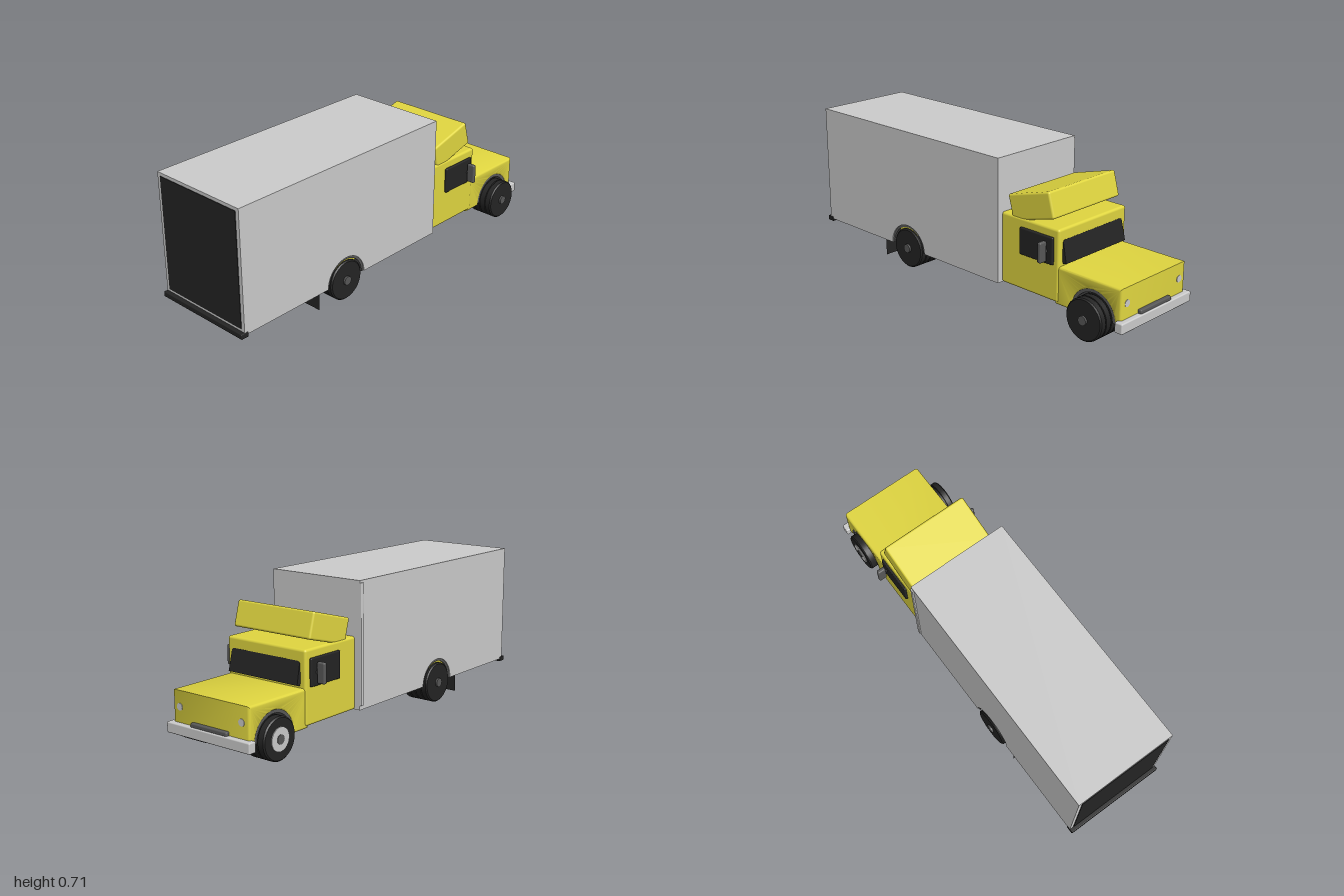
import * as THREE from 'three';
import { RoundedBoxGeometry } from 'three/addons/geometries/RoundedBoxGeometry.js';
import { toCreasedNormals } from 'three/addons/utils/BufferGeometryUtils.js';

const mat = (color, side = THREE.FrontSide) => new THREE.MeshStandardMaterial({ color, side });

export function createModel() {
  const truck = new THREE.Group();
  const grey = mat(0xcccccc);
  const yellow = mat(0xe0d640);
  const black = mat(0x242424);
  const darkGrey = mat(0x585858);
  const flap = mat(0x242424, THREE.DoubleSide);
  const REAR = -0.35, FRONT = 0.82, AXLE = 0.1, WELL = 0.12;

  function add(name, geometry, material, parent = truck) {
    const mesh = new THREE.Mesh(geometry, material);
    mesh.name = name;
    parent.add(mesh);
    return mesh;
  }

  // Box given by its extents, optionally with rounded edges
  function block(name, material, [x0, x1], [y0, y1], [z0, z1], radius = 0) {
    const size = [x1 - x0, y1 - y0, z1 - z0];
    const geometry = radius ? new RoundedBoxGeometry(...size, 3, radius) : new THREE.BoxGeometry(...size);
    const mesh = add(name, geometry, material);
    mesh.position.set((x0 + x1) / 2, (y0 + y1) / 2, (z0 + z1) / 2);
    return mesh;
  }

  // Side profile with a semicircular wheel cutout, extruded across the width
  function archedBody(name, material, [x0, x1], [y0, y1], [z0, z1], wheelX, bevel) {
    const b = bevel, s = new THREE.Shape();
    s.moveTo(x0 + b, y0);
    s.lineTo(wheelX - WELL - b, y0);
    s.absarc(wheelX, y0, WELL + b, Math.PI, 0, true);
    s.lineTo(x1 - b, y0);
    s.lineTo(x1 - b, y1 - b);
    s.lineTo(x0 + b, y1 - b);
    s.closePath();
    const geometry = new THREE.ExtrudeGeometry(s, {
      depth: z1 - z0 - 2 * b, curveSegments: 32,
      bevelEnabled: b > 0, bevelSize: b, bevelThickness: b, bevelSegments: 4,
    });
    geometry.translate(0, 0, z0 + b);
    return add(name, toCreasedNormals(geometry, 0.6), material);
  }

  // Curved band inside a wheel well
  function archBand(name, material, x, z0, z1, rIn, rOut, a0, a1) {
    const s = new THREE.Shape();
    s.absarc(x, AXLE, rOut, a0, a1, false);
    s.absarc(x, AXLE, rIn, a1, a0, true);
    const geometry = new THREE.ExtrudeGeometry(s, { depth: z1 - z0, bevelEnabled: false, curveSegments: 24 });
    geometry.translate(0, 0, z0);
    add(name, toCreasedNormals(geometry, 0.6), material);
  }

  // Cargo box with rear door, door frame and corner rail
  archedBody('cargoBox', grey, [-0.98, 0.28], [0.1, 0.706], [-0.264, 0.259], REAR, 0);
  block('rearDoor', black, [-0.983, -0.975], [0.125, 0.69], [-0.245, 0.24]);
  block('cornerRail', grey, [0.258, 0.278], [0.12, 0.695], [-0.271, -0.26], 0.004);
  block('rearBumper', black, [-1, -0.96], [0.086, 0.112], [-0.266, 0.261], 0.004);

  // Cab, hood and roof fairing
  block('cab', yellow, [0.275, 0.625], [0.1, 0.446], [-0.235, 0.231], 0.012);
  archedBody('hood', yellow, [0.6, 0.975], [0.1, 0.272], [-0.229, 0.226], FRONT, 0.012);
  const fairing = block('roofFairing', yellow, [0.322, 0.578], [0.449, 0.573], [-0.23, 0.227], 0.01);
  fairing.rotation.z = 0.27;

  // Sloping windscreen pane, rounded corners
  const glass = new THREE.Shape();
  const w = 0.207, h = 0.054, r = 0.015;
  glass.moveTo(-w, -h);
  glass.lineTo(w, -h);
  glass.lineTo(w - 0.003, h - r);
  glass.quadraticCurveTo(w - 0.003, h, w - 0.003 - r, h);
  glass.lineTo(-w + 0.003 + r, h);
  glass.quadraticCurveTo(-w + 0.003, h, -w + 0.003, h - r);
  glass.closePath();
  const pane = add('windscreen', new THREE.ExtrudeGeometry(glass, { depth: 0.02, bevelEnabled: false }), black);
  pane.rotation.set(0, Math.PI / 2, 0.22, 'ZYX');
  pane.position.set(0.618, 0.336, 0);

  // Side windows, mirrors and headlights
  for (const side of [1, -1]) {
    const span = (a, b) => (side > 0 ? [a, b] : [-b - 0.003, -a - 0.003]);
    block('sideWindow', black, [0.397, 0.597], [0.275, 0.405], span(0.21, 0.243), 0.006);
    block('mirror', darkGrey, [0.551, 0.572], [0.29, 0.387], span(0.25, 0.293), 0.007);
    block('mirrorArm', darkGrey, [0.557, 0.566], [0.332, 0.344], span(0.235, 0.26));
    const lamp = add('headlight', new THREE.CylinderGeometry(0.017, 0.017, 0.012, 24), grey);
    lamp.rotation.z = -Math.PI / 2;
    lamp.position.set(0.971, 0.197, side * 0.185);
  }

  // Front bumper with the dark intake strip above it
  block('frontBumper', grey, [0.958, 1], [0.075, 0.125], [-0.25, 0.247], 0.006);
  block('grille', darkGrey, [0.965, 0.993], [0.121, 0.143], [-0.111, 0.107], 0.006);

  // Chassis and the inner walls of the wheel wells
  block('chassis', black, [-0.65, 0.95], [0.097, 0.14], [-0.125, 0.125]);
  block('rearWellWall', black, [REAR - WELL, REAR + WELL], [0.1, 0.221], [-0.122, 0.122]);
  block('frontWellWall', black, [FRONT - 0.135, FRONT + 0.135], [0.1, 0.235], [-0.14, 0.14]);
  for (const [z0, z1] of [[0.122, 0.254], [-0.259, -0.122]]) {
    archBand('rearWellLiner', darkGrey, REAR, z0, z1, 0.108, 0.121, 0, Math.PI);
    archBand('rearFender', yellow, REAR, z0 + 0.005, z1 - 0.004, 0.101, 0.119, 0.9, Math.PI - 0.9);
  }
  for (const [z0, z1] of [[0.13, 0.222], [-0.225, -0.13]])
    archBand('frontWellLiner', darkGrey, FRONT, z0, z1, 0.108, 0.134, 0, Math.PI);

  // Tyre turned from a grooved profile, plus hub cap; outward is local +y
  function wheel(name, x, side, inner, outer, hubOut, ring) {
    const group = new THREE.Group();
    group.name = name;
    const R = 0.1, width = outer - inner, pts = [[0, 0], [R - 0.006, 0], [R, 0.006]];
    const grooves = Math.round(width / 0.035);
    for (let i = 1; i < grooves; i++) {
      const y = (width * i) / grooves;
      pts.push([R, y - 0.003], [R - 0.006, y - 0.002], [R - 0.006, y + 0.002], [R, y + 0.003]);
    }
    pts.push([R, width - 0.006], [R - 0.006, width], [0, width]);
    const profile = pts.map(([a, b]) => new THREE.Vector2(a, b));
    add('tyre', toCreasedNormals(new THREE.LatheGeometry(profile, 40), 0.5), black, group);
    if (ring) {
      const rim = [[0.02, 0], [0.055, 0], [0.055, 0.004], [0.02, 0.004]].map(([a, b]) => new THREE.Vector2(a, b));
      add('rim', toCreasedNormals(new THREE.LatheGeometry(rim, 40), 0.5), grey, group).position.y = width;
    }
    add('hub', new THREE.CylinderGeometry(0.022, 0.022, hubOut + 0.01, 24), darkGrey, group)
      .position.y = width + (hubOut - 0.01) / 2;
    group.rotation.x = (side * Math.PI) / 2;
    group.position.set(x, AXLE, side * inner);
    truck.add(group);
  }
  wheel('frontLeftWheel', FRONT, 1, 0.15, 0.287, 0.01, false);
  wheel('frontRightWheel', FRONT, -1, 0.14, 0.258, 0.007, true);
  wheel('rearLeftWheel', REAR, 1, 0.123, 0.26, 0.01, false);
  wheel('rearRightWheel', REAR, -1, 0.126, 0.27, 0.01, false);

  // Mud flaps behind the rear wheels
  for (const z of [0.19, -0.195]) {
    const mud = add('mudFlap', new THREE.PlaneGeometry(0.13, 0.09), flap);
    mud.rotation.y = Math.PI / 2;
    mud.position.set(-0.525, 0.06, z);
  }

  return truck;
}
